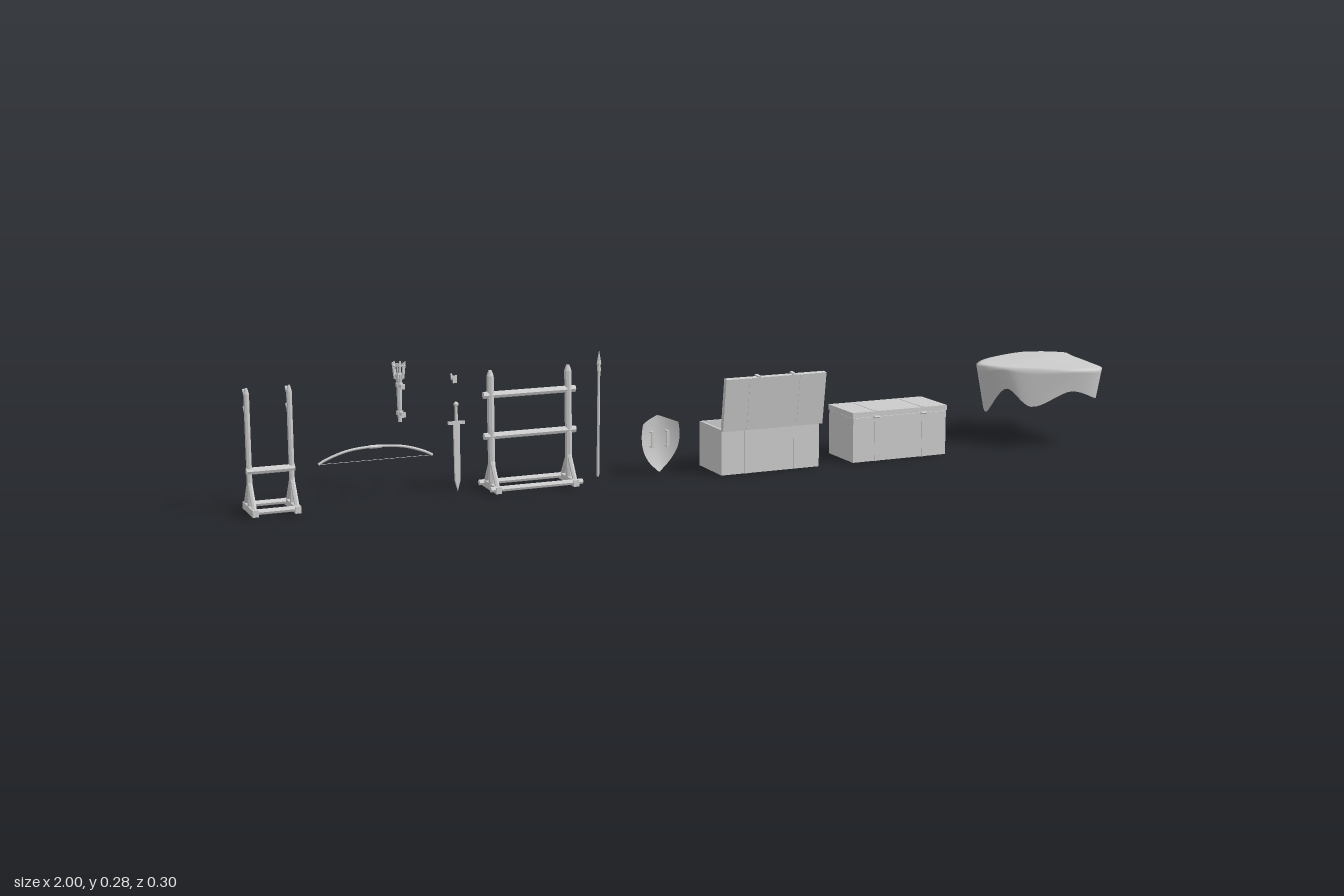
import * as THREE from 'three';

const mat = new THREE.MeshStandardMaterial({ color: 0xcccccc });
const flat = new THREE.MeshStandardMaterial({ color: 0xcccccc, flatShading: true });
const thin = new THREE.MeshStandardMaterial({ color: 0xcccccc, side: THREE.DoubleSide });
const V = (x, y, z) => new THREE.Vector3(x, y, z);

function add(parent, name, geo, x = 0, y = 0, z = 0, m = flat) {
  const mesh = new THREE.Mesh(geo, m);
  mesh.name = name;
  mesh.position.set(x, y, z);
  parent.add(mesh);
  return mesh;
}
const box = (p, name, w, h, d, x, y, z) => add(p, name, new THREE.BoxGeometry(w, h, d), x, y, z);

// round or faceted bar between two points
function bar(p, name, a, b, r0, r1 = r0, sides = 8) {
  const mesh = add(p, name, new THREE.CylinderGeometry(r1, r0, a.distanceTo(b), sides));
  mesh.position.copy(a).add(b).multiplyScalar(0.5);
  mesh.quaternion.setFromUnitVectors(V(0, 1, 0), b.clone().sub(a).normalize());
  return mesh;
}

function group(parent, name, x = 0, y = 0, z = 0) {
  const g = new THREE.Group();
  g.name = name;
  g.position.set(x, y, z);
  parent.add(g);
  return g;
}

// standing rack: posts on splayed feet, tied by rails
function rack(root, name, x, half, postR, rails, overhang, prongs) {
  const g = group(root, name, x, 0, 0.01);
  for (const s of [-1, 1]) {
    const px = s * half;
    bar(g, 'post', V(px, 0.005, 0), V(px, 0.247, 0), postR);
    bar(g, 'postTip', V(px, 0.247, 0), V(px, 0.259, 0), postR, postR * 0.45);
    box(g, 'foot', 0.012, 0.014, 0.092, px, 0.012, 0);
    for (const k of [-1, 1])
      bar(g, 'brace', V(px, 0.016, k * 0.037), V(px, 0.065, k * 0.004), 0.005, 0.005, 6);
    for (const y of prongs)
      bar(g, 'prong', V(px, y, 0), V(px, y + 0.022, -0.026), 0.0035, 0.0025, 6);
  }
  const len = half + overhang;
  for (const z of [-0.038, 0.038])
    bar(g, 'baseRail', V(-len, 0.014, z), V(len, 0.014, z), 0.006);
  for (const y of rails)
    bar(g, 'crossRail', V(-len, y, 0), V(len, y, 0), 0.0075);
}

// bow stave with string
function bow(root) {
  const g = group(root, 'bow', -0.73, 0.09, 0.006);
  const arc = new THREE.CatmullRomCurve3([
    V(-0.12, 0, 0), V(-0.108, 0.007, 0), V(-0.06, 0.023, 0), V(0, 0.028, 0),
    V(0.06, 0.023, 0), V(0.108, 0.007, 0), V(0.12, 0, 0)]);
  add(g, 'stave', new THREE.TubeGeometry(arc, 32, 0.0028, 8), 0, 0, 0, mat);
  bar(g, 'grip', V(-0.012, 0.0275, 0), V(0.012, 0.0275, 0), 0.0038);
  bar(g, 'string', V(-0.12, 0, 0), V(0.12, 0, 0), 0.0005, 0.0005, 4);
}

// wall torch: shaft, basket of prongs, two wall pegs
function torch(root) {
  const g = group(root, 'torch', -0.66, 0, -0.053);
  bar(g, 'shaft', V(0, 0.153, 0), V(0, 0.245, 0), 0.0045, 0.0065);
  bar(g, 'cup', V(0, 0.236, 0), V(0, 0.254, 0), 0.006, 0.010);
  const ring = add(g, 'basketRing', new THREE.TorusGeometry(0.0125, 0.0018, 6, 12), 0, 0.272, 0);
  ring.rotation.x = Math.PI / 2;
  for (let i = 0; i < 6; i++) {
    const c = Math.cos(i * Math.PI / 3), s = Math.sin(i * Math.PI / 3);
    bar(g, 'basketProng', V(c * 0.009, 0.244, s * 0.009), V(c * 0.0135, 0.279, s * 0.0135), 0.0025, 0.002, 5);
  }
  for (const y of [0.172, 0.231]) {
    bar(g, 'peg', V(0, y, 0), V(0, y, 0.026), 0.0042);
    box(g, 'wallPlate', 0.009, 0.011, 0.003, 0, y, 0.027);
    bar(g, 'collar', V(0, y - 0.004, 0), V(0, y + 0.004, 0), 0.008);
  }
}

function sword(root) {
  const g = group(root, 'sword', -0.555, 0, 0);
  const s = new THREE.Shape([[-0.006, 0.15], [-0.005, 0.03], [0, 0.008], [0.005, 0.03], [0.006, 0.15]]
    .map(([x, y]) => new THREE.Vector2(x, y)));
  add(g, 'blade', new THREE.ExtrudeGeometry(s, { depth: 0.001, bevelThickness: 0.0012, bevelSize: 0.0015, bevelSegments: 1 }), 0, 0, -0.0005);
  box(g, 'guard', 0.036, 0.006, 0.008, 0, 0.152, 0);
  bar(g, 'grip', V(0, 0.152, 0), V(0, 0.187, 0), 0.0035);
  add(g, 'pommel', new THREE.SphereGeometry(0.0055, 10, 8), 0, 0.191, 0, mat);
  // small wall hook above the sword
  const h = group(root, 'wallHook', -0.56, 0.246, 0);
  box(h, 'hookPlate', 0.009, 0.016, 0.003, 0, 0, 0.012);
  bar(h, 'hookArm', V(0, -0.002, 0.012), V(0, -0.003, -0.008), 0.0028);
  bar(h, 'hookTip', V(0, -0.003, -0.008), V(0, 0.008, -0.013), 0.0028, 0.002);
}

// slightly leaning spear
function spear(root) {
  const g = group(root, 'spear', -0.238, 0.008, -0.008);
  g.rotation.x = 0.05;
  bar(g, 'shaft', V(0, 0, 0), V(0, 0.245, 0), 0.0032);
  bar(g, 'socket', V(0, 0.232, 0), V(0, 0.25, 0), 0.0045, 0.0035);
  const head = bar(g, 'spearHead', V(0, 0.246, 0), V(0, 0.277, 0), 0.0055, 0, 4);
  head.scale.z = 0.6;
}

// heater shield bowed toward -z, grips on the hollow side
function shield(root) {
  const g = group(root, 'shield', -0.094, 0, 0);
  const halfWidth = new THREE.CatmullRomCurve3([
    V(0.001, 0.005, 0), V(0.024, 0.028, 0), V(0.040, 0.058, 0), V(0.044, 0.088, 0), V(0.041, 0.114, 0)]);
  const geo = new THREE.PlaneGeometry(2, 1, 16, 16), p = geo.attributes.position;
  for (let i = 0; i < p.count; i++) {
    const u = p.getX(i), q = halfWidth.getPoint(p.getY(i) + 0.5);
    const k = p.getY(i) + 0.5;
    const peak = k * k * k * 0.015 * (1 - Math.abs(u)); // raised centre of the top edge
    const x = u * q.x;
    p.setXYZ(i, x, q.y + peak, -0.022 + 10 * x * x + 2.2 * (q.y - 0.075) ** 2);
  }
  geo.computeVertexNormals();
  add(g, 'face', geo, 0, 0, 0, thin);
  const inner = geo.clone().translate(0, 0, 0.003);
  add(g, 'backing', inner, 0, 0, 0, thin);
  for (const x of [-0.018, 0.018]) {
    box(g, 'strap', 0.006, 0.035, 0.003, x, 0.078, -0.004);
    for (const y of [0.062, 0.094]) box(g, 'strapEnd', 0.006, 0.003, 0.014, x, y, -0.01);
  }
}

// plank chest hinged on the +z side
function chest(root, name, x, lidAngle) {
  const g = group(root, name, x, 0, 0.004);
  const w = 0.236, d = 0.116, h = 0.1, t = 0.006;
  for (const s of [-1, 1]) {
    box(g, 'longWall', w, h, t, 0, h / 2, s * (d - t) / 2);
    box(g, 'endWall', t, h, d - 2 * t, s * (w - t) / 2, h / 2, 0);
    for (const k of [-1, 1]) {
      box(g, 'bodyStrap', 0.008, h, 0.002, k * 0.06, h / 2, s * (d / 2 + 0.0005));
    }
  }
  const lid = group(g, 'lid', 0, h + 0.001, d / 2);
  lid.rotation.x = lidAngle;
  box(lid, 'lidBoard', w + 0.004, 0.012, d + 0.002, 0, 0.006, -d / 2);
  for (const k of [-1, 1]) {
    box(lid, 'lidStrap', 0.008, 0.001, d, k * 0.06, 0.0123, -d / 2);
    box(lid, 'hasp', 0.007, 0.016, 0.003, k * 0.042, 0.003, -d - 0.0025);
    box(g, 'latch', 0.009, 0.011, 0.004, k * 0.042, 0.085, -d / 2 - 0.002);
    box(g, 'strapFoot', 0.01, 0.012, 0.004, k * 0.06, 0.012, -d / 2 - 0.002);
    bar(g, 'hinge', V(k * 0.06 - 0.007, h, d / 2 + 0.001), V(k * 0.06 + 0.007, h, d / 2 + 0.001), 0.003);
  }
}

// draped cloth: rings from the middle to the shoulder and down to the hem
function cloth(root) {
  // shoulder x, z, then hem x, y, z
  const st = [
    [0.703, -0.01, 0.75, 0.065, -0.05], [0.735, 0.04, 0.75, 0.135, 0.045], [0.79, 0.088, 0.785, 0.098, 0.092],
    [0.875, 0.143, 0.865, 0.135, 0.135], [0.94, 0.142, 0.93, 0.115, 0.135], [0.962, 0.06, 0.955, 0.125, 0.05],
    [0.975, -0.03, 0.965, 0.14, -0.03], [0.983, -0.08, 0.998, 0.155, -0.09], [0.955, -0.11, 0.92, 0.085, -0.1],
    [0.906, -0.125, 0.906, 0.16, -0.15], [0.82, -0.105, 0.82, 0.145, -0.105], [0.745, -0.065, 0.755, 0.12, -0.07]];
  const loop = f => new THREE.CatmullRomCurve3(st.map(f), true, 'centripetal');
  const top = loop(s => V(s[0], 0.186, s[1])), hem = loop(s => V(s[2], s[3], s[4]));
  const n = 96, rings = 18, mid = V(0.86, 0.193, 0), pos = [], idx = [];
  for (let r = 0; r <= rings; r++)
    for (let i = 0; i < n; i++) {
      const a = top.getPoint(i / n), b = hem.getPoint(i / n), k = r / rings;
      const q = k < 0.6 ? mid.clone().lerp(a, k / 0.6) : a.lerp(b, (k - 0.6) / 0.4);
      pos.push(q.x, q.y, q.z);
      if (r < rings) {
        const j = (i + 1) % n, o = r * n;
        idx.push(o + i, o + n + i, o + n + j, o + i, o + n + j, o + j);
      }
    }
  const geo = new THREE.BufferGeometry();
  geo.setAttribute('position', new THREE.Float32BufferAttribute(pos, 3));
  geo.setIndex(idx);
  geo.computeVertexNormals();
  add(root, 'cloth', geo, 0, 0, 0, thin);
}

export function createModel() {
  const root = new THREE.Group();
  root.name = 'armourySet';
  rack(root, 'smallRack', -0.949, 0.043, 0.0058, [0.09], 0.006, [0.195, 0.23]);
  bow(root);
  torch(root);
  sword(root);
  rack(root, 'largeRack', -0.397, 0.086, 0.008, [0.12, 0.207], 0.016, []);
  spear(root);
  shield(root);
  chest(root, 'openChest', 0.14, 1.72);
  chest(root, 'closedChest', 0.461, 0);
  cloth(root);
  return root;
}
